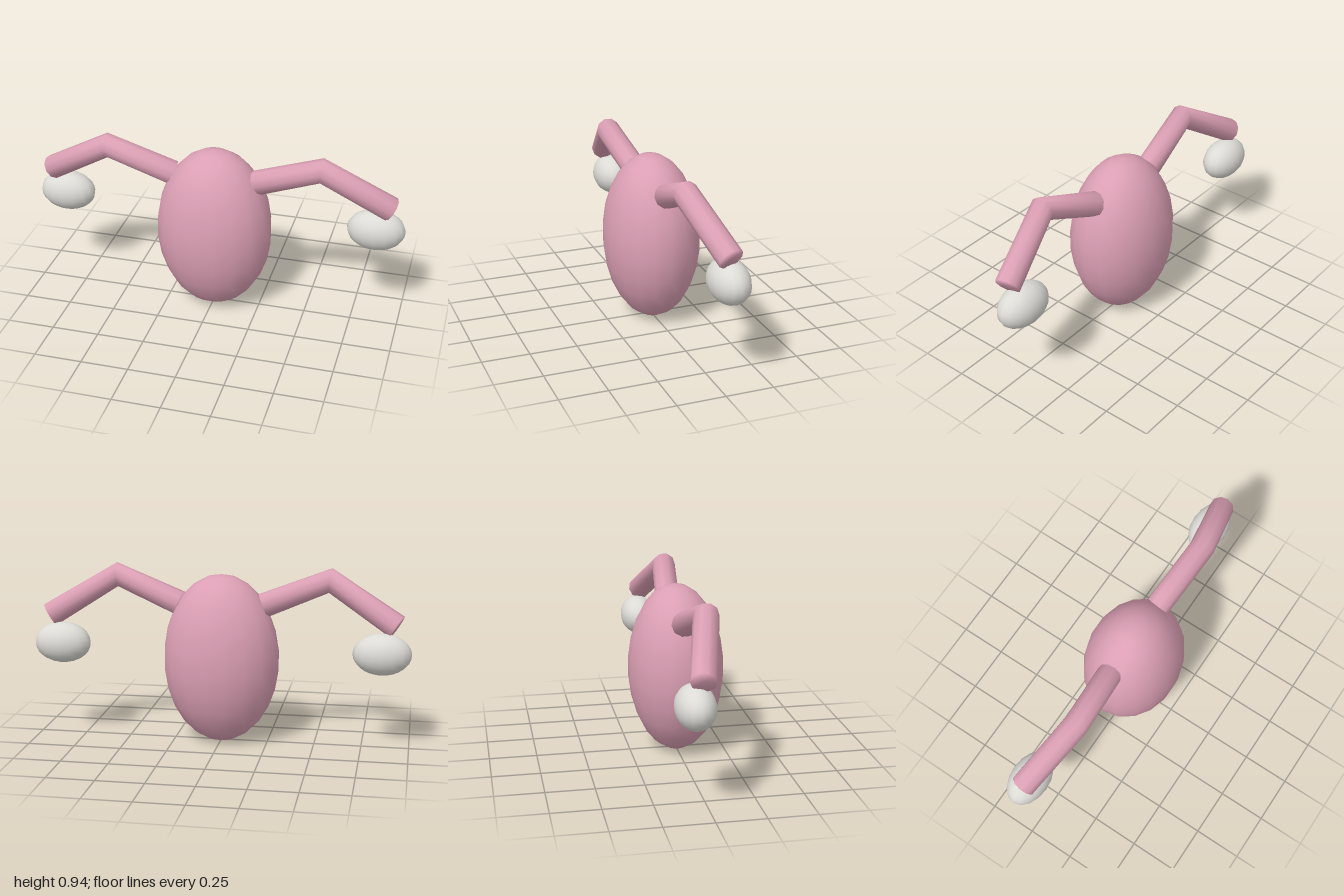
import * as THREE from 'three';

const V = (x, y, z) => new THREE.Vector3(x, y, z);

// Bent limb: one ring per joint, mitred at bends, closed by smooth-shaded end caps
function limbGeometry(joints, radius, sides) {
  const positions = [], index = [];
  const last = joints.length - 1;
  joints.forEach((p, i) => {
    const before = p.clone().sub(joints[Math.max(i - 1, 0)]).normalize();
    const after = joints[Math.min(i + 1, last)].clone().sub(p).normalize();
    const tangent = before.add(after).normalize();
    const u = V(0, 1, 0).addScaledVector(tangent, -tangent.y).normalize();
    const v = tangent.clone().cross(u);
    for (let k = 0; k < sides; k++) {
      const a = ((k + 0.5) / sides) * Math.PI * 2;
      const q = p.clone().addScaledVector(u, Math.cos(a) * radius).addScaledVector(v, Math.sin(a) * radius);
      positions.push(q.x, q.y, q.z);
    }
  });
  const startCap = positions.length / 3, endCap = startCap + 1;
  positions.push(...joints[0].toArray(), ...joints[last].toArray());
  for (let k = 0; k < sides; k++) {
    const n = (k + 1) % sides;
    for (let i = 0; i < last; i++) {
      const a = i * sides + k, b = i * sides + n;
      index.push(a, b, b + sides, a, b + sides, a + sides);
    }
    index.push(startCap, n, k, endCap, last * sides + k, last * sides + n);
  }
  const geometry = new THREE.BufferGeometry();
  geometry.setAttribute('position', new THREE.Float32BufferAttribute(positions, 3));
  geometry.setIndex(index);
  geometry.computeVertexNormals();
  return geometry;
}

export function createModel() {
  const model = new THREE.Group();
  const pink = new THREE.MeshStandardMaterial({ color: 0xdb9fb4 });
  pink.name = 'pink';
  const paleGrey = new THREE.MeshStandardMaterial({ color: 0xdcdbd6 });
  paleGrey.name = 'paleGrey';

  const add = (name, geometry, material) => {
    const mesh = new THREE.Mesh(geometry, material);
    mesh.name = name;
    model.add(mesh);
    return mesh;
  };

  // Egg-shaped body
  const body = add('body', new THREE.SphereGeometry(1, 18, 13), pink);
  body.scale.set(0.309, 0.451, 0.252);
  body.position.y = 0.453;

  // Mirrored bent arms with a hand hanging under each end
  for (const [side, s] of [['left', 1], ['right', -1]]) {
    const joints = [V(s * 0.222, 0.744, 0), V(s * 0.568, 0.88, 0.04), V(s * 0.92, 0.665, -0.045)];
    add(side + 'Arm', limbGeometry(joints, 0.065, 10), pink);

    const hand = add(side + 'Hand', new THREE.SphereGeometry(1, 16, 14), paleGrey);
    hand.scale.set(0.152, 0.109, 0.099);
    hand.position.set(s * 0.848, 0.523, -0.068);
  }
  return model;
}
